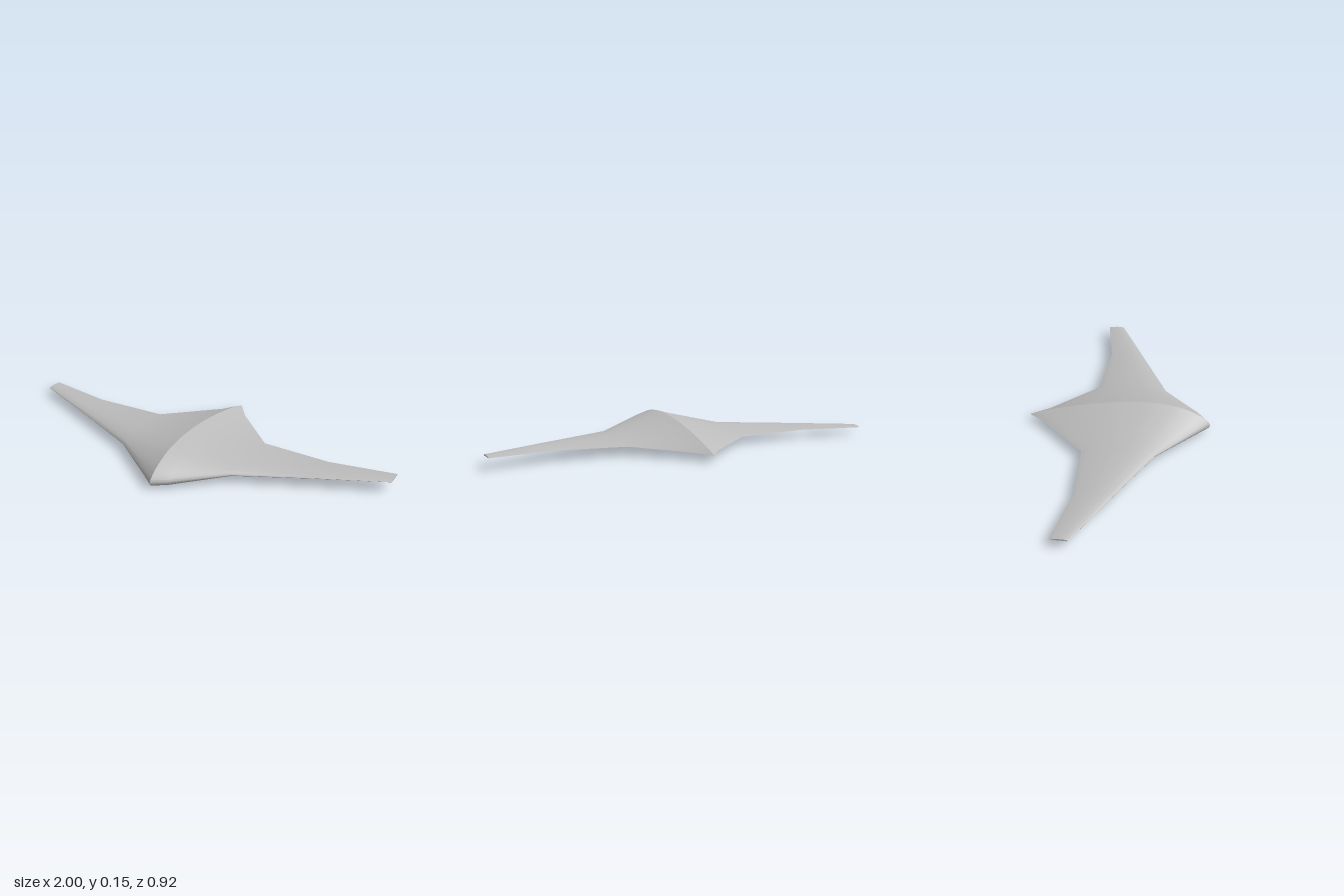
import * as THREE from 'three';
import { toCreasedNormals } from 'three/addons/utils/BufferGeometryUtils.js';

// Airfoil: [distance behind nose, height], both as fractions of the chord,
// running from the trailing edge over the top, round the nose and back underneath
const AIRFOIL = [
  [1, 0], [0.94, 0.022], [0.83, 0.052], [0.72, 0.0775], [0.61, 0.098], [0.5, 0.113],
  [0.345, 0.122], [0.25, 0.116], [0.17, 0.102], [0.1, 0.078], [0.05, 0.053],
  [0.015, 0.026], [0.003, 0.011], [0, 0], [0.004, -0.01], [0.015, -0.02], [0.05, -0.032],
  [0.12, -0.038], [0.25, -0.035], [0.5, -0.022], [0.75, -0.011],
];

// Span stations from right tip to left tip: x, nose z, tail z, chord height, thickness factor
const STATIONS = [
  [-1, -0.095, -0.18, 0.038, 0.6],
  [-0.67, 0.05, -0.125, 0.041, 0.68],
  [-0.31, 0.21, -0.145, 0.039, 0.7],
  [-0.055, 0.405, -0.375, 0.035, 0.98],
  [0.01, 0.457, -0.46, 0.035, 1],
  [0.08, 0.412, -0.365, 0.036, 0.98],
  [0.31, 0.21, -0.145, 0.043, 0.7],
  [0.67, 0.05, -0.125, 0.053, 0.68],
  [1, -0.095, -0.18, 0.058, 0.6],
];

// Smooth curve through the airfoil, closed at the sharp trailing edge
function airfoilRing(count) {
  const points = [...AIRFOIL, [1, 0]].map(([t, h]) => new THREE.Vector2(t, h));
  return new THREE.SplineCurve(points).getPoints(count).slice(0, count);
}

function createFlyingWing() {
  const n = 84;
  const ring = airfoilRing(n);
  const positions = [];
  const index = [];

  for (const [x, nose, tail, y, thick] of STATIONS) {
    const chord = nose - tail;
    for (const p of ring) positions.push(x, y + p.y * chord * thick, nose - p.x * chord);
  }

  // Skin between neighbouring stations
  for (let s = 0; s < STATIONS.length - 1; s++) {
    for (let i = 0; i < n; i++) {
      const a = s * n + i;
      const b = s * n + ((i + 1) % n);
      index.push(a, b, a + n, b, b + n, a + n);
    }
  }

  // Flat wing tips
  const last = (STATIONS.length - 1) * n;
  for (let i = 1; i < n - 1; i++) {
    index.push(last, last + i, last + i + 1);
    index.push(0, i + 1, i);
  }

  const geometry = new THREE.BufferGeometry();
  geometry.setAttribute('position', new THREE.Float32BufferAttribute(positions, 3));
  geometry.setIndex(index);
  return toCreasedNormals(geometry, THREE.MathUtils.degToRad(30));
}

export function createModel() {
  const group = new THREE.Group();
  group.name = 'flyingWing';

  const grey = new THREE.MeshStandardMaterial({ color: 0xbcbcbc });
  grey.name = 'light grey';

  const body = new THREE.Mesh(createFlyingWing(), grey);
  body.name = 'blendedWingBody';
  group.add(body);
  return group;
}
